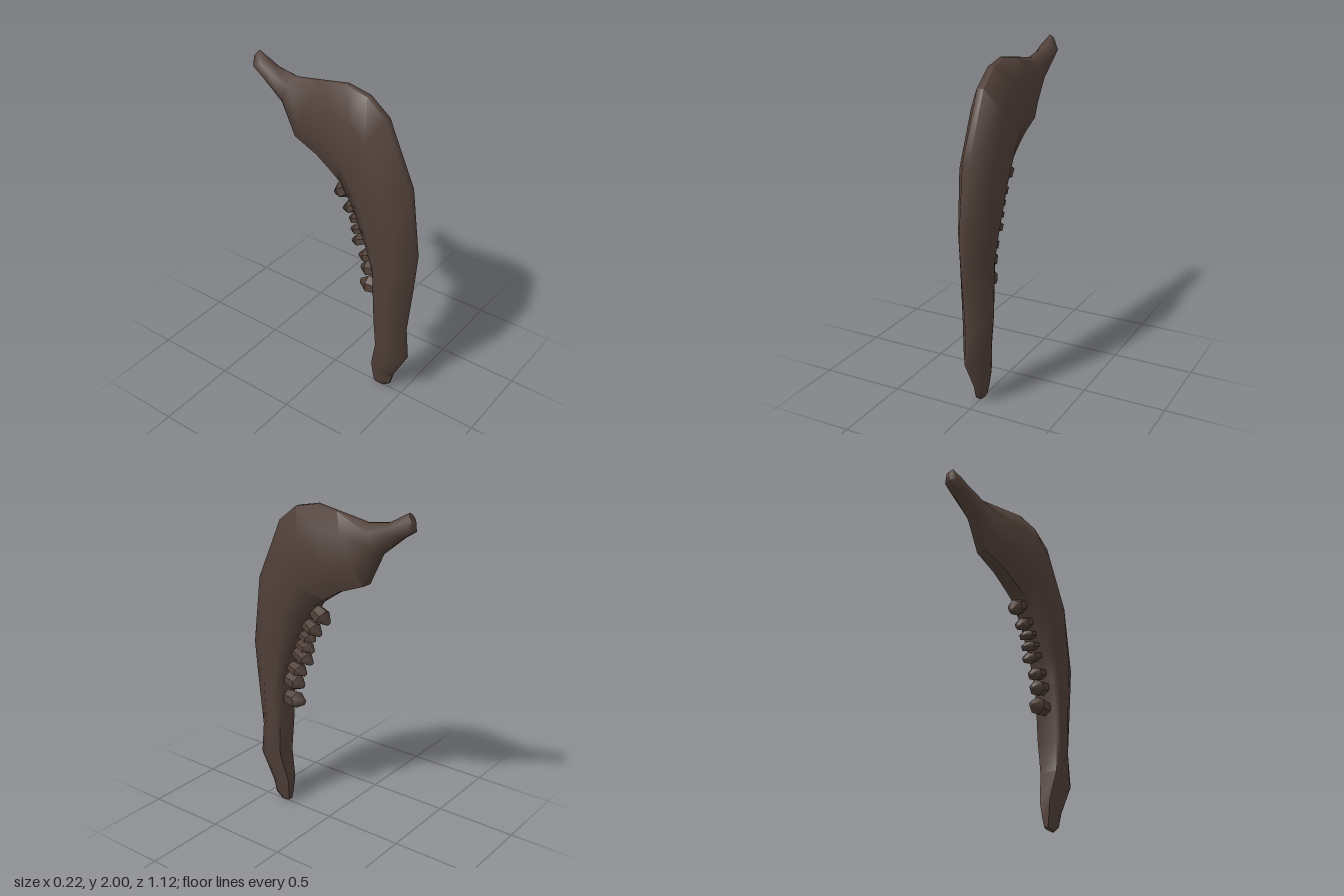
import * as THREE from 'three';
import { toCreasedNormals } from 'three/addons/utils/BufferGeometryUtils.js';

// Jaw sections: outer z, outer y, inner z, inner y, half-width
const SECTIONS = [
  [-0.52, 2.0, -0.555, 1.95, 0.02],
  [-0.455, 1.962, -0.553, 1.9, 0.048],
  [-0.4, 1.932, -0.49, 1.86, 0.053],
  [-0.26, 1.91, -0.35, 1.745, 0.058],
  [-0.06, 1.943, -0.26, 1.56, 0.07],
  [0.08, 1.965, -0.1, 1.5, 0.095],
  [0.22, 1.935, 0.0, 1.435, 0.104],
  [0.34, 1.84, 0.07, 1.385, 0.112],
  [0.505, 1.47, 0.16, 1.26, 0.112],
  [0.56, 1.05, 0.25, 1.05, 0.096],
  [0.543, 0.83, 0.31, 0.88, 0.085],
  [0.51, 0.5, 0.33, 0.55, 0.082],
  [0.53, 0.3, 0.34, 0.35, 0.07],
  [0.44, 0.12, 0.3, 0.17, 0.042],
  [0.42, 0.04, 0.305, 0.08, 0.028],
  [0.375, 0.003, 0.31, 0.02, 0.016],
];

// Teeth: base z, base y, tip z, tip y, half-thickness
const TEETH = [
  [0.13, 1.36, 0.0, 1.275, 0.05],
  [0.2, 1.27, 0.06, 1.19, 0.04],
  [0.21, 1.18, 0.105, 1.145, 0.03],
  [0.24, 1.12, 0.115, 1.075, 0.03],
  [0.26, 1.06, 0.125, 0.995, 0.036],
  [0.31, 0.96, 0.175, 0.915, 0.04],
  [0.33, 0.87, 0.19, 0.835, 0.05],
  [0.35, 0.74, 0.185, 0.73, 0.055],
];

// Loft eight-sided sections; the inner edge flattens towards the lower end
function jawGeometry() {
  const pos = [], index = [], n = 8, last = SECTIONS.length - 1;
  SECTIONS.forEach(([oz, oy, iz, iy, w], i) => {
    const k = THREE.MathUtils.smoothstep(i, 7, 11);
    const half = [
      [0, 0.18 * w],
      [0.28 + 0.2 * k, w * (0.88 + 0.12 * k)],
      [0.75 + 0.1 * k, w],
      [1, w * (0.45 + 0.4 * k)],
    ];
    const ring = [...half, ...half.slice().reverse().map(([t, x]) => [t, -x])];
    for (const [t, x] of ring) pos.push(x, oy + (iy - oy) * t, oz + (iz - oz) * t);
  });
  for (let i = 0; i < last; i++) {
    for (let j = 0; j < n; j++) {
      const a = i * n + j, b = i * n + (j + 1) % n;
      index.push(a, a + n, b, b, a + n, b + n);
    }
  }
  // End caps
  for (let j = 1; j < n - 1; j++) {
    index.push(0, j, j + 1, last * n, last * n + j + 1, last * n + j);
  }
  const g = new THREE.BufferGeometry();
  g.setAttribute('position', new THREE.Float32BufferAttribute(pos, 3));
  g.setIndex(index);
  return toCreasedNormals(g, 1.15);
}

// Blunt six-sided stub along +y, unit length and radius
function toothGeometry() {
  const profile = [[0, 0], [0.75, 0], [1, 0.62], [0.3, 0.97], [0, 1]];
  const g = new THREE.LatheGeometry(profile.map(([r, y]) => new THREE.Vector2(r, y)), 6);
  return toCreasedNormals(g, 0.7);
}

export function createModel() {
  const group = new THREE.Group();
  group.name = 'jawbone';
  const bone = new THREE.MeshStandardMaterial({ name: 'dark brown bone', color: 0x503f38 });

  const jaw = new THREE.Mesh(jawGeometry(), bone);
  jaw.name = 'jaw';
  group.add(jaw);

  // Row of teeth along the inner curve
  const teeth = new THREE.Group();
  teeth.name = 'teeth';
  const geometry = toothGeometry();
  for (const [bz, by, tz, ty, r] of TEETH) {
    const tooth = new THREE.Mesh(geometry, bone);
    tooth.name = 'tooth';
    tooth.position.set(0, by, bz);
    tooth.rotation.x = Math.atan2(tz - bz, ty - by);
    tooth.scale.set(0.055, Math.hypot(tz - bz, ty - by), r);
    teeth.add(tooth);
  }
  group.add(teeth);
  return group;
}
